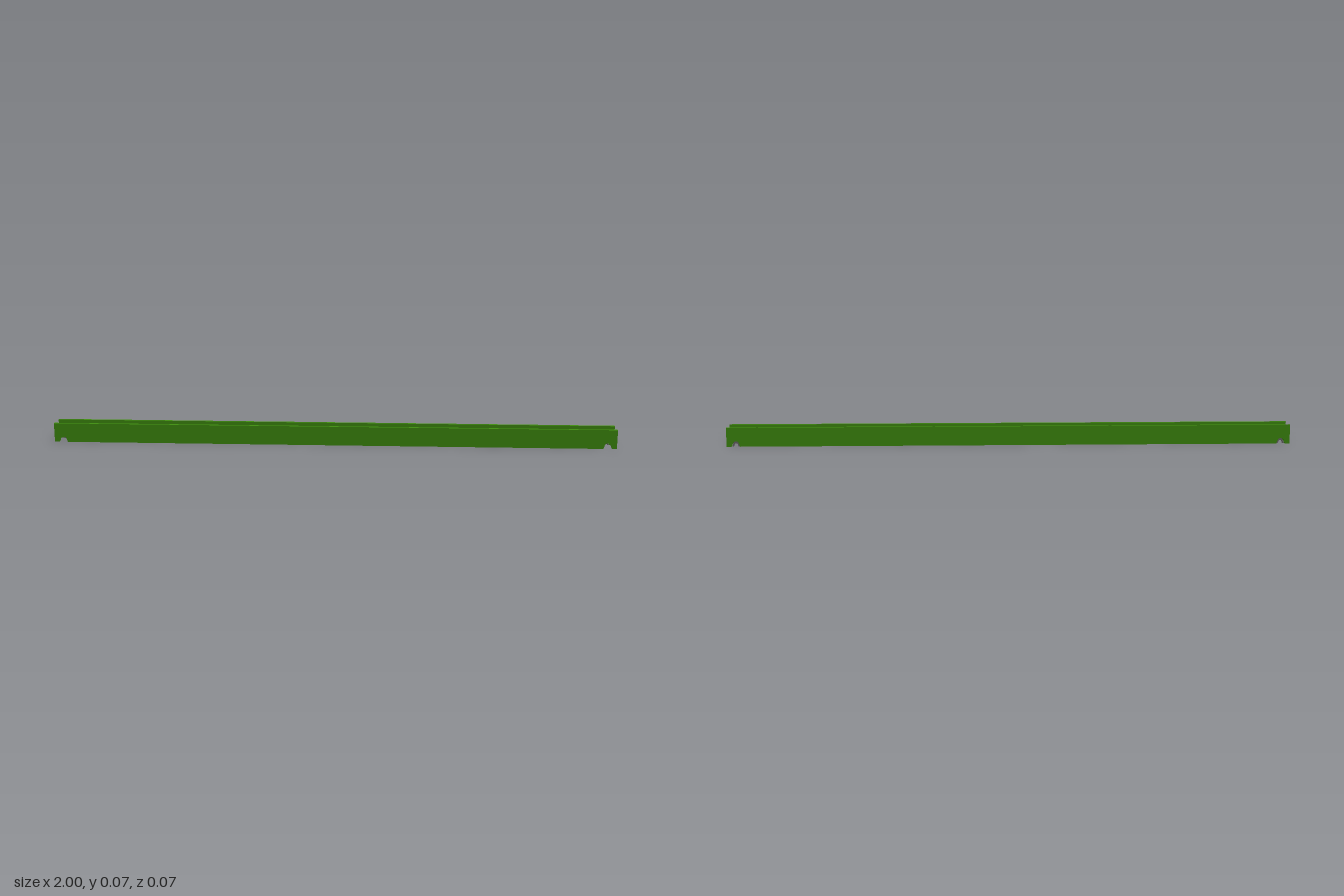
import * as THREE from 'three';

const HALF = 1, HEIGHT = 0.068, THICK = 0.009, OUTER_Z = 0.034;
const NOTCH_X = 0.968;

export function createModel() {
  const group = new THREE.Group();
  const green = new THREE.MeshStandardMaterial({ color: 0x40900f });
  green.name = 'leaf green';
  const grey = new THREE.MeshStandardMaterial({ color: 0x6a6668 });
  grey.name = 'steel grey';

  const add = (name, geometry, material, x, y, z) => {
    const mesh = new THREE.Mesh(geometry, material);
    mesh.name = name;
    mesh.position.set(x, y, z);
    group.add(mesh);
  };

  // Arched opening traced left to right along the bottom edge
  const arch = (shape, x, r, h) => {
    shape.lineTo(x - r, 0);
    shape.lineTo(x - r * 0.75, h - r * 0.6);
    shape.quadraticCurveTo(x - r * 0.6, h, x, h);
    shape.quadraticCurveTo(x + r * 0.6, h, x + r * 0.75, h - r * 0.6);
    shape.lineTo(x + r, 0);
  };

  // Long side plates, notched near both ends
  const side = new THREE.Shape();
  side.moveTo(-HALF, 0);
  arch(side, -NOTCH_X, 0.015, 0.02);
  arch(side, NOTCH_X, 0.015, 0.02);
  side.lineTo(HALF, 0);
  side.lineTo(HALF, HEIGHT);
  side.lineTo(-HALF, HEIGHT);
  const plate = new THREE.ExtrudeGeometry(side, { depth: THICK, bevelEnabled: false, curveSegments: 4 });
  add('frontPlate', plate, green, 0, 0, OUTER_Z - THICK);
  add('backPlate', plate, green, 0, 0, -OUTER_Z);

  // Small hooked clips inside the back plate, over the notches
  const hook = new THREE.Shape();
  hook.moveTo(-0.013, 0);
  arch(hook, 0, 0.008, 0.011);
  hook.lineTo(0.013, 0);
  hook.lineTo(0.009, 0.013);
  hook.lineTo(0.004, 0.018);
  hook.lineTo(-0.004, 0.018);
  hook.lineTo(-0.009, 0.013);
  const clip = new THREE.ExtrudeGeometry(hook, { depth: 0.005, bevelEnabled: false, curveSegments: 4 });
  for (const s of [-1, 1]) add(s < 0 ? 'rightClip' : 'leftClip', clip, grey, s * NOTCH_X, 0, -OUTER_Z + THICK - 0.001);

  // Coil springs bridging the plates
  const points = [];
  const turns = 4.5, steps = 54, length = 0.052;
  for (let i = 0; i <= steps; i++) {
    const a = (i / steps) * turns * Math.PI * 2;
    points.push(new THREE.Vector3(Math.cos(a) * 0.0075, Math.sin(a) * 0.0075, (i / steps - 0.5) * length));
  }
  const coil = new THREE.TubeGeometry(new THREE.CatmullRomCurve3(points), 90, 0.003, 6);
  for (const x of [-0.845, -0.62, -0.355, -0.13, 0.125, 0.35, 0.605, 0.83]) {
    add('spring', coil, grey, x, 0.0375, 0);
  }
  return group;
}
